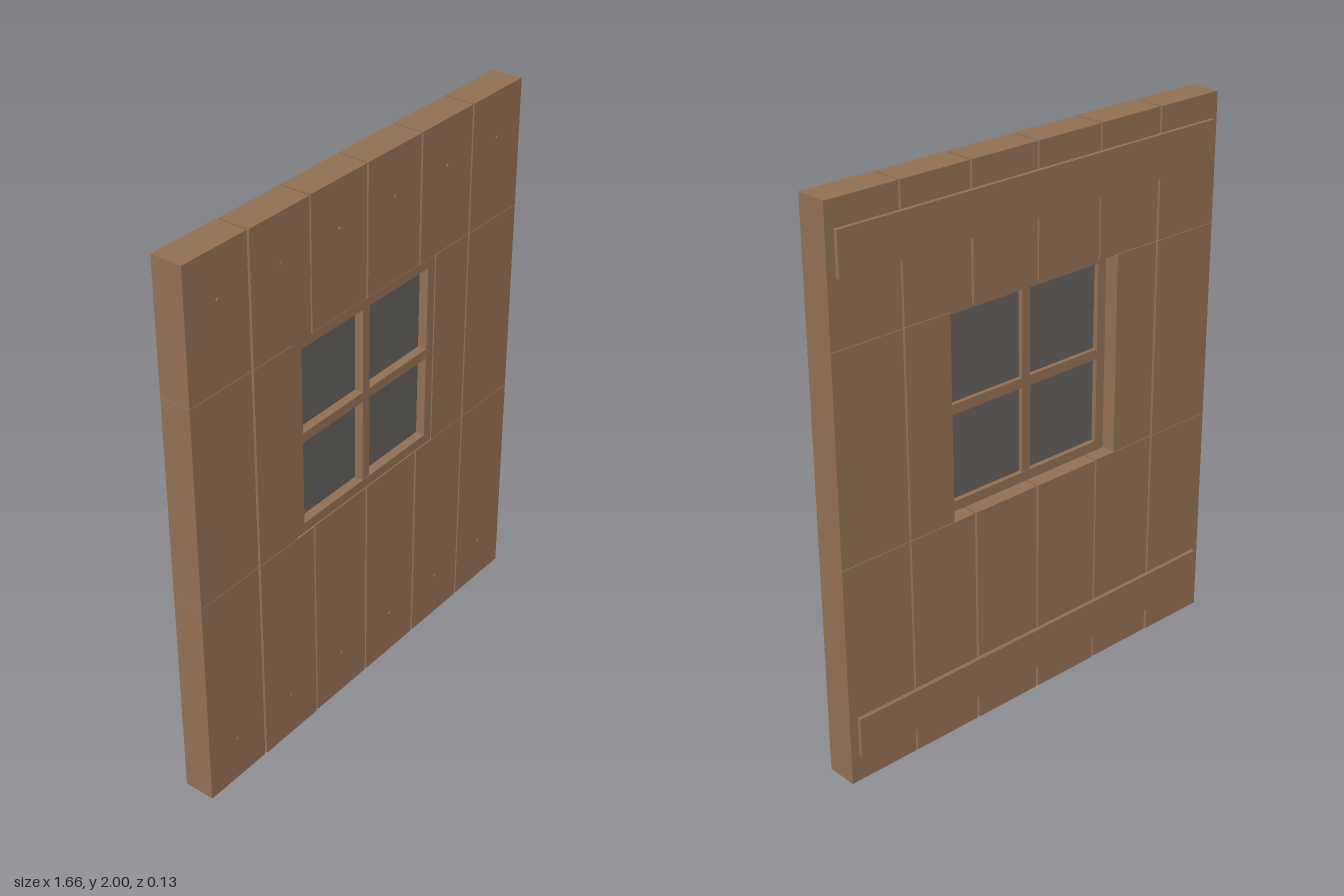
import * as THREE from 'three';

export function createModel() {
  const model = new THREE.Group();
  model.name = 'shutter';

  const wood = new THREE.MeshStandardMaterial({ color: 0x916f52 });
  wood.name = 'brown wood';
  const glass = new THREE.MeshStandardMaterial({ color: 0x625e5a });
  glass.name = 'grey glass';

  // Box given by its limits on each axis
  function box(parent, name, material, [x0, x1], [y0, y1], [z0, z1]) {
    const mesh = new THREE.Mesh(new THREE.BoxGeometry(x1 - x0, y1 - y0, z1 - z0), material);
    mesh.position.set((x0 + x1) / 2, (y0 + y1) / 2, (z0 + z1) / 2);
    mesh.name = name;
    parent.add(mesh);
  }

  // Planks: three rows, the middle one cut away around the window
  const planks = new THREE.Group();
  planks.name = 'planks';
  const columns = [[-0.83, -0.56], [-0.552, -0.284], [-0.275, -0.006], [0.002, 0.271], [0.28, 0.549], [0.557, 0.828]];
  const rows = [[0, 0.802], [0.804, 1.534], [1.536, 2]];
  const opening = 0.368;
  rows.forEach((row, r) => {
    columns.forEach(([x0, x1], c) => {
      if (r === 1 && (c === 2 || c === 3)) return;
      const left = r === 1 && c === 4 ? opening : x0;
      const right = r === 1 && c === 1 ? -opening : x1;
      const shift = c === 1 ? 0.002 : 0;
      box(planks, 'plank', wood, [left, right], row, [-0.052 + shift, 0.062 + shift]);
    });
  });
  model.add(planks);

  // Battens across the back, with a nail through every plank
  const nails = new THREE.Group();
  nails.name = 'nails';
  const nailGeometry = new THREE.CylinderGeometry(0.006, 0.006, 0.008, 8).rotateX(Math.PI / 2);
  for (const y of [0.17, 1.835]) {
    box(model, 'batten', wood, [-0.8, 0.796], [y - 0.075, y + 0.075], [-0.067, -0.052]);
    for (const [x0, x1] of columns) {
      const nail = new THREE.Mesh(nailGeometry, wood);
      nail.name = 'nail';
      nail.position.set((x0 + x1) / 2, y, 0.063);
      nails.add(nail);
    }
  }
  model.add(nails);

  // Window frame with a cross of glazing bars
  const windowGroup = new THREE.Group();
  windowGroup.name = 'window';
  const depth = [0.0, 0.06];
  const [bottom, top, middle] = [0.805, 1.533, 1.17];
  const outer = 0.364, inner = 0.327, half = 0.018;
  box(windowGroup, 'frameSide', wood, [-outer, -inner], [bottom, top], depth);
  box(windowGroup, 'frameSide', wood, [inner, outer], [bottom, top], depth);
  box(windowGroup, 'frameBottom', wood, [-inner, inner], [bottom, bottom + 0.036], depth);
  box(windowGroup, 'frameTop', wood, [-inner, inner], [top - 0.034, top], depth);
  box(windowGroup, 'uprightBar', wood, [-half, half], [bottom + 0.036, top - 0.034], [0.002, 0.058]);
  for (const [x0, x1] of [[-inner, -half], [half, inner]]) {
    box(windowGroup, 'crossBar', wood, [x0, x1], [middle - half, middle + half], [0.002, 0.058]);
    // Panes above and below the cross bar
    box(windowGroup, 'pane', glass, [x0, x1], [bottom + 0.036, middle - half], [0.018, 0.026]);
    box(windowGroup, 'pane', glass, [x0, x1], [middle + half, top - 0.034], [0.018, 0.026]);
  }
  model.add(windowGroup);

  return model;
}
